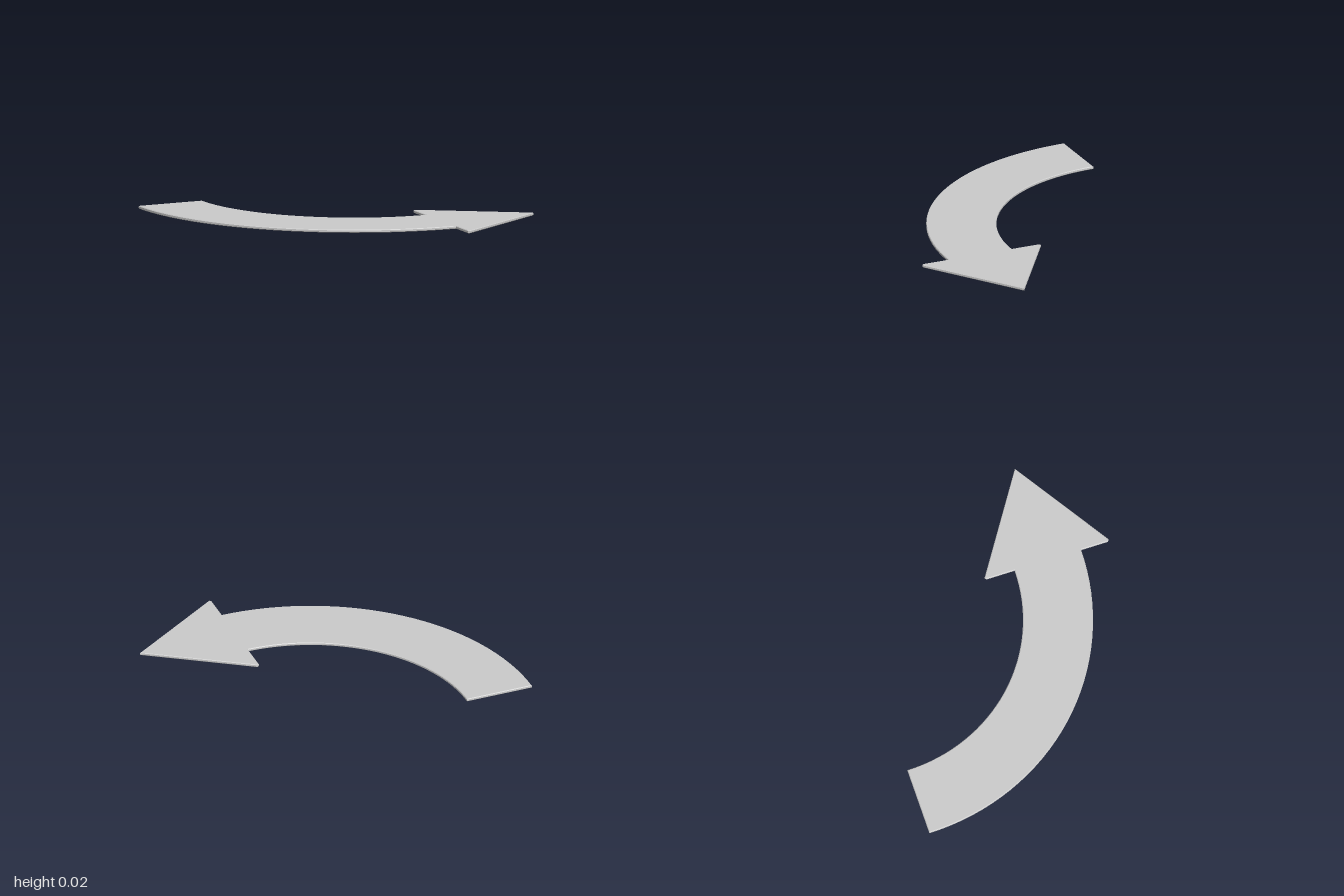
import * as THREE from 'three';

// Flat curved arrow lying on the ground: quarter-ring band ending in a triangular head.
export function createModel() {
  const group = new THREE.Group();
  group.name = 'curvedArrow';

  const thickness = 0.018, bevel = 0.004;
  const cx = 0.4, cy = 0.785;          // centre of the bend (shape y = -z)
  const outer = 1.395, inner = 0.985;

  const shape = new THREE.Shape();
  // outer edge of the band, from the tail to the head
  shape.moveTo(cx - outer, cy);
  shape.absarc(cx, cy, outer, Math.PI, Math.PI * 1.5, false);
  // arrow head with slightly clipped barbs
  shape.lineTo(0.4, -0.775);
  shape.lineTo(0.41, -0.783);
  shape.lineTo(0.42, -0.778);
  shape.lineTo(1, -0.4);
  shape.lineTo(0.42, -0.025);
  shape.lineTo(0.41, -0.018);
  shape.lineTo(0.4, -0.028);
  // inner edge back to the tail
  shape.lineTo(cx, cy - inner);
  shape.absarc(cx, cy, inner, Math.PI * 1.5, Math.PI, true);
  shape.closePath();

  const geometry = new THREE.ExtrudeGeometry(shape, {
    depth: thickness - 2 * bevel,
    curveSegments: 16,
    bevelEnabled: true,
    bevelThickness: bevel,
    bevelSize: bevel,
    bevelOffset: -bevel,
    bevelSegments: 1,
  });
  geometry.translate(0, 0, bevel);
  geometry.rotateX(-Math.PI / 2);

  const arrow = new THREE.Mesh(geometry, new THREE.MeshStandardMaterial({ color: 0xcccccc }));
  arrow.name = 'arrow';
  group.add(arrow);
  return group;
}
